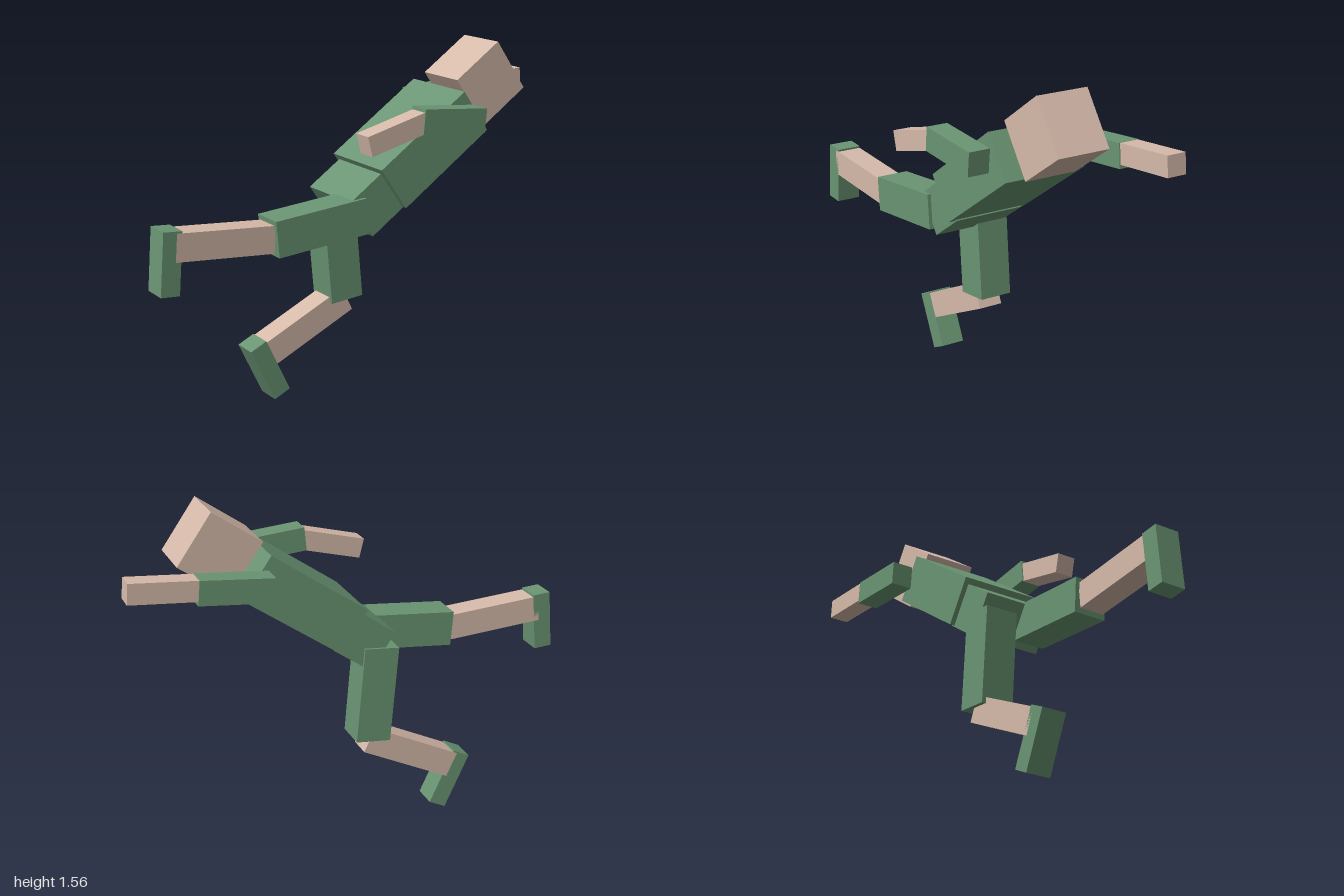
import * as THREE from 'three';

const green = new THREE.MeshStandardMaterial({ color: 0x6a9573 });
green.name = 'green cloth';
const skin = new THREE.MeshStandardMaterial({ color: 0xd6baaa });
skin.name = 'skin';

export function createModel() {
  const model = new THREE.Group();
  model.name = 'runningFigure';

  // Local frame: x is the running direction, y is up, z is sideways.
  const figure = new THREE.Group();
  figure.name = 'figure';
  figure.rotation.y = 0.921;
  figure.position.set(0, 0, 0);
  model.add(figure);

  // Box of size [along, up, wide] centred at [forward, height, side], pitched in degrees.
  const part = (name, material, size, centre, pitch) => {
    const mesh = new THREE.Mesh(new THREE.BoxGeometry(...size), material);
    mesh.name = name;
    mesh.position.set(...centre);
    mesh.rotation.z = THREE.MathUtils.degToRad(pitch);
    figure.add(mesh);
  };

  // Leaning trunk and head
  const mid = 0.029;
  part('head', skin, [0.273, 0.273, 0.255], [0.596, 1.375, mid], 34.7);
  part('torso', green, [0.534, 0.228, 0.4], [0.239, 1.124, mid], 34.6);
  part('pelvis', green, [0.212, 0.205, 0.345], [-0.041, 0.91, mid - 0.004], 34.6);

  // Limbs share segment sizes; each pose lists [forward, height, pitch] per segment.
  const thigh = [0.452, 0.163, 0.159], shin = [0.46, 0.122, 0.12], foot = [0.086, 0.275, 0.12];
  const upperArm = [0.33, 0.11, 0.103], forearm = [0.312, 0.092, 0.093];

  const leg = (name, side, a, b, c) => {
    part(name + 'Thigh', green, thigh, [a[0], a[1], side], a[2]);
    part(name + 'Shin', skin, shin, [b[0], b[1], side], b[2]);
    part(name + 'Foot', green, foot, [c[0], c[1], side], c[2]);
  };
  leg('trailingLeg', 0.135, [-0.333, 0.847, 5], [-0.79, 0.843, -4.4], [-1.043, 0.795, -4.4]);
  leg('standingLeg', -0.08, [-0.1, 0.645, 95], [-0.277, 0.319, 25.3], [-0.4745, 0.149, 25.3]);

  const arm = (name, side, a, b) => {
    part(name + 'Upper', green, upperArm, [a[0], a[1], side], a[2]);
    part(name + 'Forearm', skin, forearm, [b[0], b[1], side], b[2]);
  };
  arm('backArm', 0.295, [0.262, 1.27, -5.2], [-0.026, 1.245, 14.2]);
  arm('reachingArm', -0.236, [0.58, 1.27, 5], [0.885, 1.304, 4.5]);

  return model;
}
